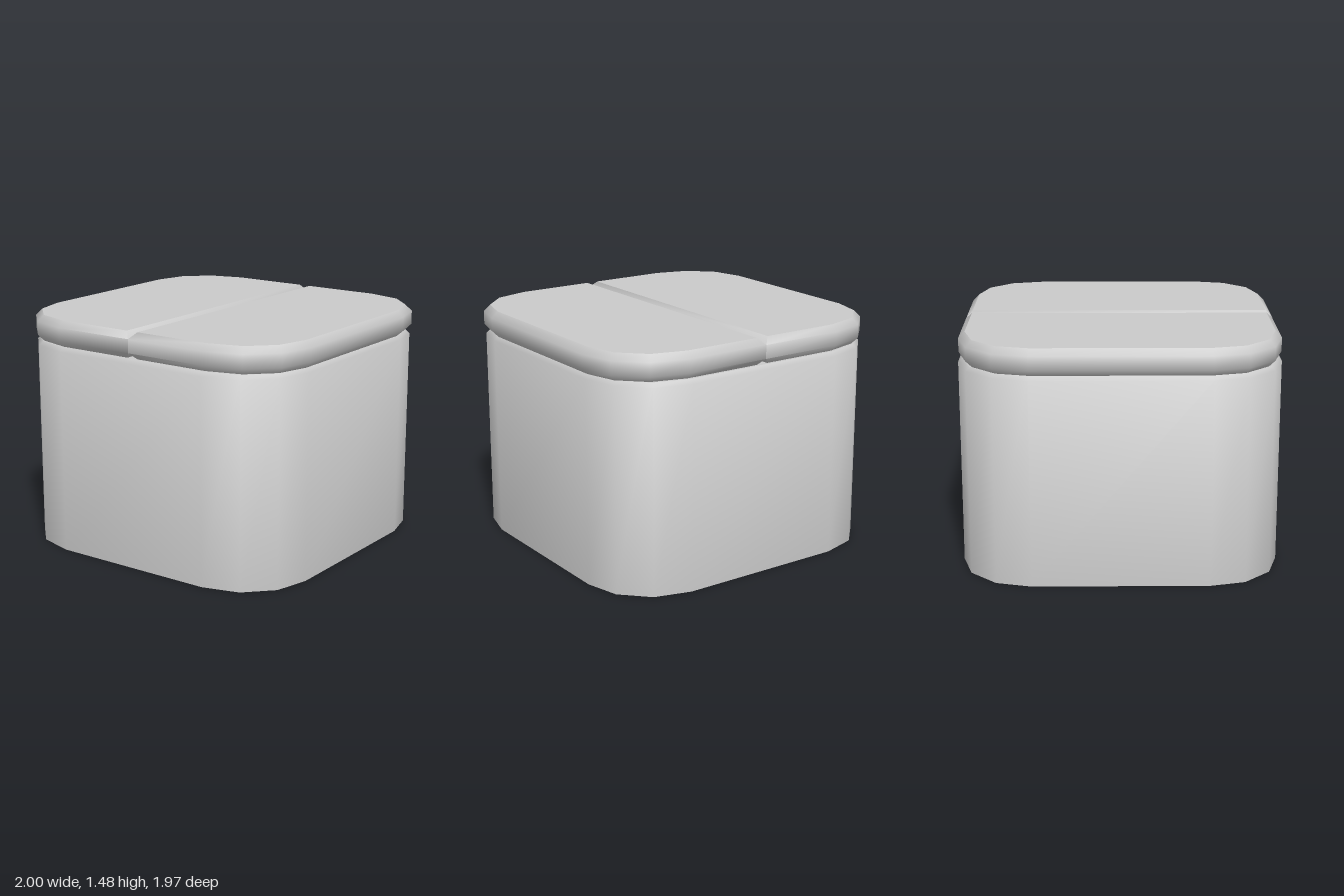
import * as THREE from 'three';
import { mergeGeometries, toCreasedNormals } from 'three/addons/utils/BufferGeometryUtils.js';

// Move every edge of a convex counterclockwise outline inwards by d
function inset(outline, d) {
  const n = outline.length;
  return outline.map((p, i) => {
    const a = outline[(i + n - 1) % n], b = outline[(i + 1) % n];
    const t1 = p.clone().sub(a).normalize(), t2 = b.clone().sub(p).normalize();
    const n1 = new THREE.Vector2(-t1.y, t1.x), n2 = new THREE.Vector2(-t2.y, t2.x);
    return n1.clone().add(n2).multiplyScalar(d / (1 + n1.dot(n2))).add(p);
  });
}

function meshData(points, index) {
  const g = new THREE.BufferGeometry();
  g.setAttribute('position', new THREE.Float32BufferAttribute(points.flat(), 3));
  g.setIndex(index);
  return g;
}

// Stack the outline along a profile of [inset, height] steps, with flat caps
function loft(outline, profile) {
  const n = outline.length;
  const rings = profile.map(([d, y]) => inset(outline, d).map(p => [p.x, y, -p.y]));
  const side = [], top = [], bottom = [];
  for (let k = 0; k < rings.length - 1; k++) {
    for (let i = 0; i < n; i++) {
      const j = (i + 1) % n, a = k * n + i, b = k * n + j;
      side.push(a, b, b + n, a, b + n, a + n);
    }
  }
  for (let i = 1; i < n - 1; i++) {
    top.push(0, i, i + 1);
    bottom.push(0, i + 1, i);
  }
  const wall = toCreasedNormals(meshData(rings.flat(), side), THREE.MathUtils.degToRad(60));
  const caps = [meshData(rings.at(-1), top), meshData(rings[0], bottom)].map(c => {
    c.computeVertexNormals();
    return c.toNonIndexed();
  });
  return mergeGeometries([wall, ...caps]);
}

// Rounded corner in the positive quadrant, from the side to the end
const corner = (w, d) =>
  [[1, 0.55], [0.943, 0.77], [0.78, 0.935], [0.545, 1]].map(([x, y]) => new THREE.Vector2(x * w, y * d));

// Right half of the outline, running counterclockwise
function halfOutline(w, d) {
  const c = corner(w, d);
  return [...c.map(p => new THREE.Vector2(p.x, -p.y)).reverse(), ...c];
}

export function createModel() {
  const group = new THREE.Group();
  const material = new THREE.MeshStandardMaterial({ color: 0xcccccc });
  const add = (name, geometry) => {
    const mesh = new THREE.Mesh(geometry, material);
    mesh.name = name;
    group.add(mesh);
    return mesh;
  };

  // Box body with a small chamfer round the top rim
  const half = halfOutline(0.985, 0.985);
  const full = [...half, ...half.map(p => p.clone().negate())];
  add('body', loft(full, [[0, 0], [0, 1.288], [0.027, 1.313]]));

  // Two bevelled lid halves meeting along the centre seam
  const lidOutline = [new THREE.Vector2(0, -0.98), ...halfOutline(1, 0.98), new THREE.Vector2(0, 0.98)];
  const lid = loft(lidOutline, [[0.04, 1.312], [0, 1.352], [0, 1.437], [0.04, 1.477]]);
  add('leftLid', lid);
  add('rightLid', lid).rotation.y = Math.PI;

  return group;
}
